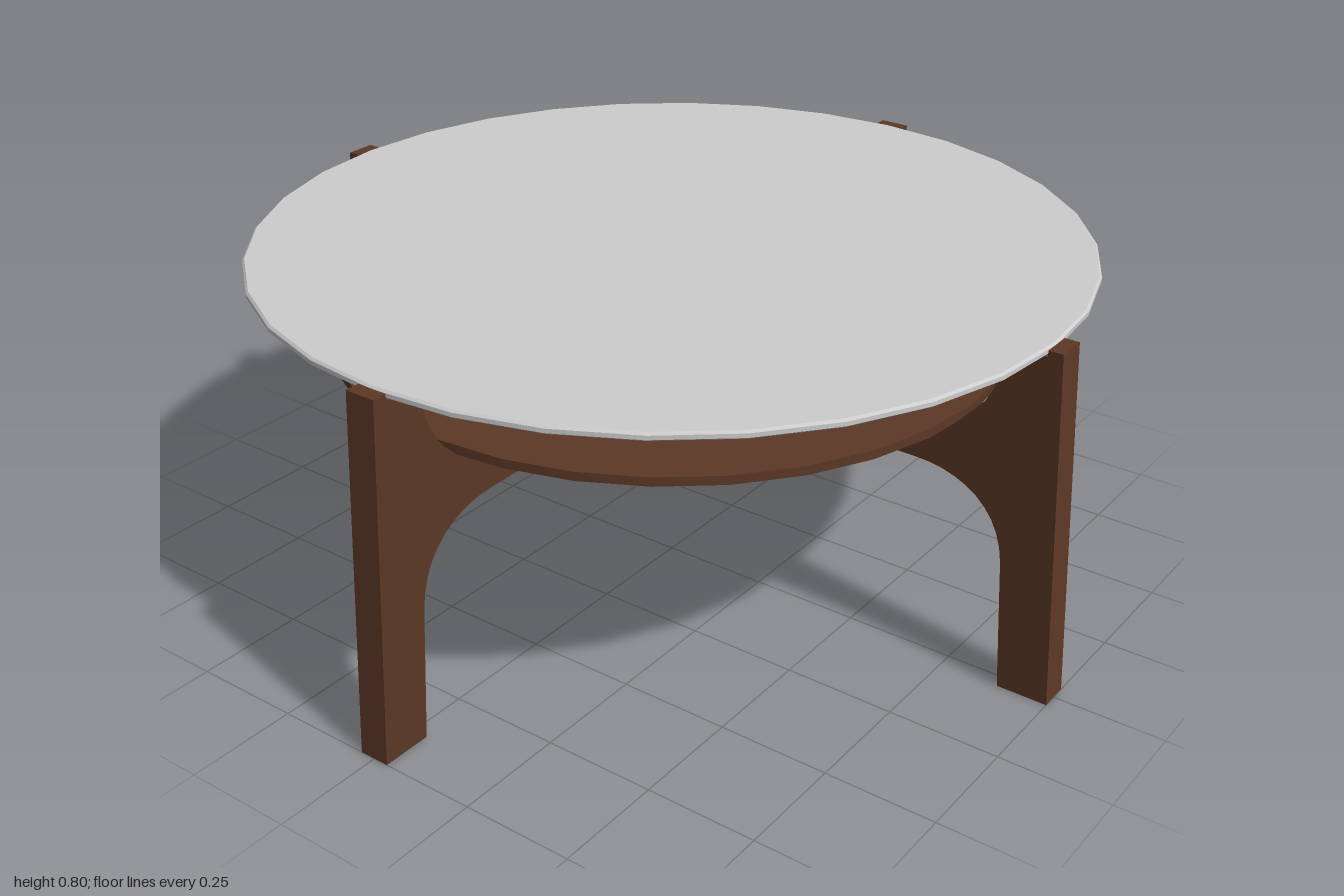
import * as THREE from 'three';
import { toCreasedNormals } from 'three/addons/utils/BufferGeometryUtils.js';

const wood = new THREE.MeshStandardMaterial({ color: 0x5c3826 });
wood.name = 'walnut wood';
const glass = new THREE.MeshStandardMaterial({ color: 0xcdcdcd });
glass.name = 'frosted glass';

const THICK = 0.07;

// Outline of one frame: two splayed legs joined by a crossbar
function frameGeometry() {
  const s = new THREE.Shape();
  s.moveTo(1, 0);
  s.lineTo(0.957, 0.8);
  s.lineTo(0.925, 0.8);
  // notch that carries the top
  s.lineTo(0.925, 0.786);
  s.lineTo(0.838, 0.786);
  // upper sweep into the crossbar
  s.bezierCurveTo(0.836, 0.66, 0.76, 0.567, 0.64, 0.567);
  s.lineTo(-0.64, 0.567);
  s.bezierCurveTo(-0.76, 0.567, -0.836, 0.66, -0.838, 0.786);
  s.lineTo(-0.925, 0.786);
  s.lineTo(-0.925, 0.8);
  s.lineTo(-0.957, 0.8);
  s.lineTo(-1, 0);
  s.lineTo(-0.885, 0);
  // lower arch
  s.lineTo(-0.866, 0.3);
  s.bezierCurveTo(-0.856, 0.42, -0.77, 0.48, -0.65, 0.48);
  s.lineTo(0.65, 0.48);
  s.bezierCurveTo(0.77, 0.48, 0.856, 0.42, 0.866, 0.3);
  s.lineTo(0.885, 0);
  s.closePath();
  const g = new THREE.ExtrudeGeometry(s, { depth: THICK, bevelEnabled: false, curveSegments: 10 });
  g.translate(0, 0, -THICK / 2);
  return toCreasedNormals(g, 0.6);
}

// Round part turned from [radius, height] pairs, listed from the bottom up
function turned(name, profile, material, crease) {
  const points = profile.map(([r, y]) => new THREE.Vector2(r, y));
  const mesh = new THREE.Mesh(toCreasedNormals(new THREE.LatheGeometry(points, 32), crease), material);
  mesh.name = name;
  return mesh;
}

export function createModel() {
  const table = new THREE.Group();
  table.name = 'roundCoffeeTable';

  // Two identical frames crossing at the centre
  const geometry = frameGeometry();
  ['sideToSideFrame', 'frontToBackFrame'].forEach((name, i) => {
    const frame = new THREE.Mesh(geometry, wood);
    frame.name = name;
    frame.rotation.y = i * Math.PI / 2;
    table.add(frame);
  });

  // Shelf with a chamfered underside
  table.add(turned('lowerShelf',
    [[0, 0.564], [0.67, 0.564], [0.76, 0.602], [0.76, 0.622], [0, 0.622]], wood, 0.3));

  // Thin glass disc with slightly eased edges
  table.add(turned('glassTop',
    [[0, 0.786], [0.92, 0.786], [0.925, 0.79], [0.925, 0.799], [0.92, 0.804], [0, 0.804]], glass, 0.5));

  return table;
}
